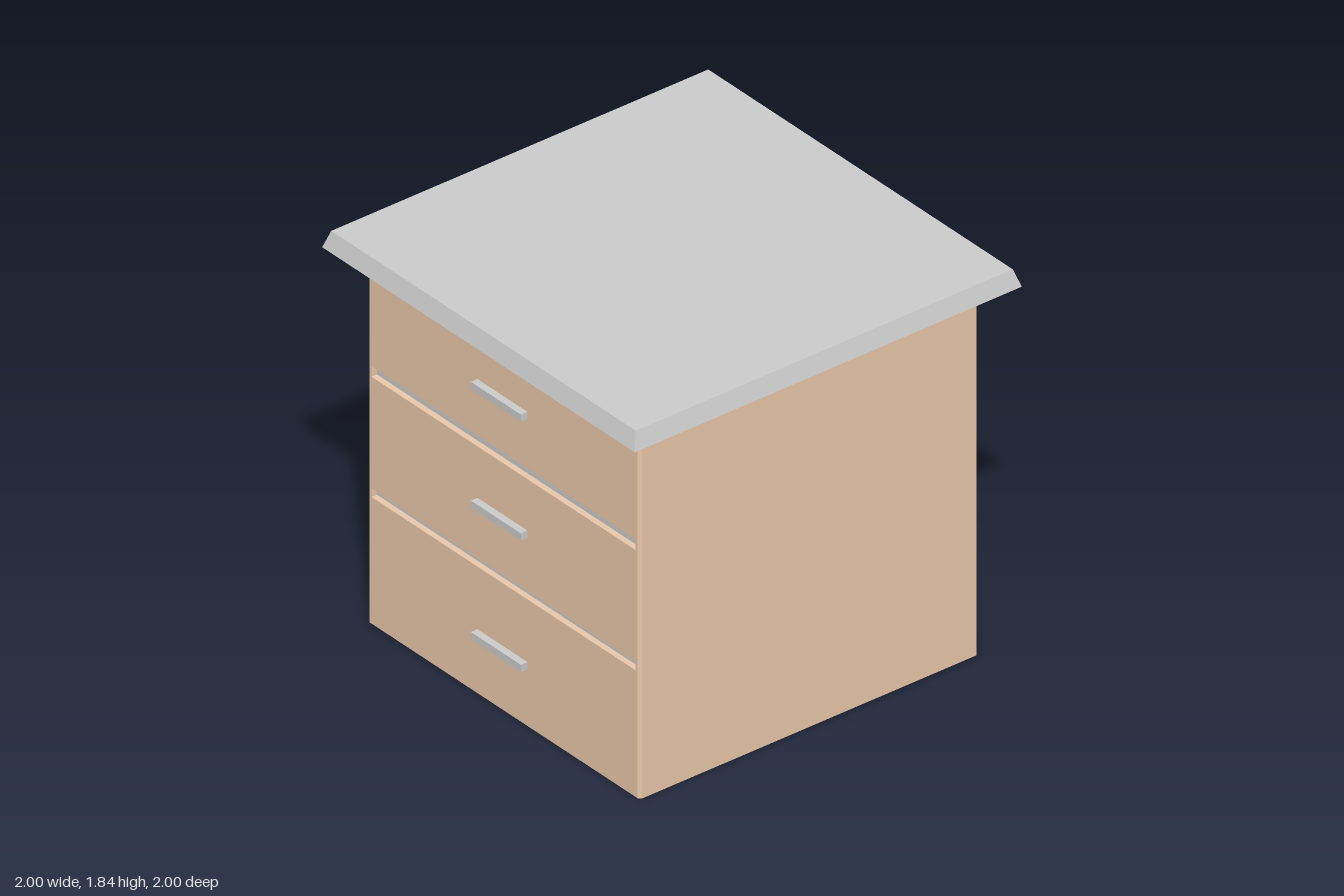
import * as THREE from 'three';

const wood = new THREE.MeshStandardMaterial({ color: 0xebc8aa, flatShading: true });
const grey = new THREE.MeshStandardMaterial({ color: 0xcccccc, flatShading: true });

const W = 0.87;          // half width and back depth
const FRONT = 0.87;      // front face z
const CHAMFER = 0.012;   // front corner bevel
const GROOVE_W = 0.845;  // half length of a groove
const GROOVE_D = 0.03;   // groove depth

function addMesh(group, name, geometry, material) {
  const mesh = new THREE.Mesh(geometry, material);
  mesh.name = name;
  group.add(mesh);
  return mesh;
}

// One horizontal slice of the cabinet; notched slices form the grooves
function sliceGeometry(y0, y1, notched) {
  const points = [[-W, -W], [W, -W], [W, FRONT - CHAMFER], [W - CHAMFER, FRONT]];
  if (notched) {
    const z = FRONT - GROOVE_D;
    points.push([GROOVE_W, FRONT], [GROOVE_W, z], [-GROOVE_W, z], [-GROOVE_W, FRONT]);
  }
  points.push([-W + CHAMFER, FRONT], [-W, FRONT - CHAMFER]);
  // plan is drawn with -z as shape y, so the extrusion runs upwards
  const shape = new THREE.Shape(points.map(([x, z]) => new THREE.Vector2(x, -z)));
  const geometry = new THREE.ExtrudeGeometry(shape, { depth: y1 - y0, bevelEnabled: false });
  return geometry.rotateX(-Math.PI / 2).translate(0, y0, 0);
}

export function createModel() {
  const model = new THREE.Group();
  model.name = 'drawerCabinet';

  // Cabinet body: three drawer tiers separated by two grooves
  const levels = [0, 0.6, 0.64, 1.17, 1.22, 1.752];
  for (let i = 0; i < levels.length - 1; i++) {
    const notched = i % 2 === 1;
    const [y0, y1] = [levels[i], levels[i + 1]];
    addMesh(model, notched ? 'grooveSlice' : 'drawerTier', sliceGeometry(y0, y1, notched), wood);
    if (notched) {
      // Grey strip at the back of the groove
      const strip = new THREE.BoxGeometry(2 * GROOVE_W, y1 - y0, 0.004);
      addMesh(model, 'grooveStrip', strip, grey).position.set(0, (y0 + y1) / 2, FRONT - GROOVE_D);
    }
  }

  // Bar handles standing just off the drawer fronts
  for (const y of [0.292, 0.915, 1.478]) {
    addMesh(model, 'handle', new THREE.BoxGeometry(0.32, 0.034, 0.034), grey).position.set(0, y, 0.893);
  }

  // Overhanging top with sloped rim: a four-sided lathe
  const profile = [[0, 1.75], [0.87, 1.75], [1, 1.76], [0.974, 1.84], [0, 1.84]];
  const top = new THREE.LatheGeometry(
    profile.map(([x, y]) => new THREE.Vector2(x * Math.SQRT2, y)), 4, Math.PI / 4);
  addMesh(model, 'top', top, grey);

  return model;
}
